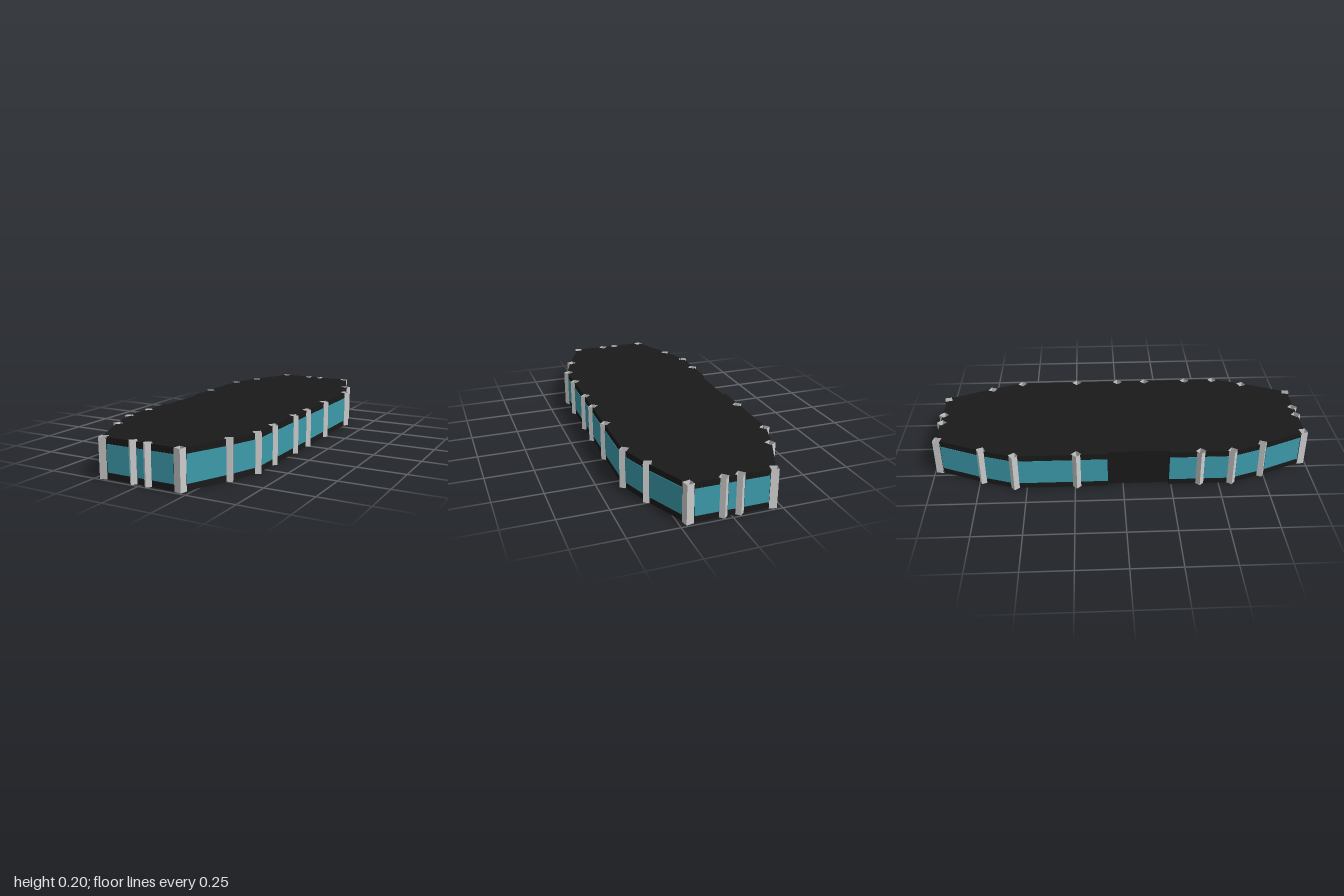
import * as THREE from 'three';

const H = 0.2;          // overall height
const R = 0.027;        // post half diagonal
const OUT = 0.008;      // wall face distance outside the post line
const ENTRY = 6;        // the wall after this post holds the recessed entry
const ENTRY_Z = [0.24, -0.08];

// Post centres (x, z), walking around the plan from the front
const end = [[0.207, 0.97], [0.04, 0.97], [-0.04, 0.97], [-0.207, 0.97]];
const posts = [
  ...end,
  [-0.312, 0.73], [-0.37, 0.565], [-0.37, 0.4],
  [-0.37, -0.24], [-0.37, -0.56], [-0.312, -0.73],
  ...end.map(([x, z]) => [-x, -z]),
  [0.312, -0.73], [0.37, -0.56], [0.37, -0.24], [0.37, 0], [0.37, 0.16],
  [0.37, 0.4], [0.37, 0.565], [0.312, 0.73],
].map(([x, z]) => new THREE.Vector2(x, z));

const dirOf = (a, b) => b.clone().sub(a).normalize();
const outward = (d) => new THREE.Vector2(d.y, -d.x);
const move = (p, d, s, n, t) => p.clone().addScaledVector(d, s).addScaledVector(n, t);

export function createModel() {
  const group = new THREE.Group();
  const black = new THREE.MeshStandardMaterial({ color: 0x1a1a1a });
  const teal = new THREE.MeshStandardMaterial({ color: 0x3c9aaa });
  const grey = new THREE.MeshStandardMaterial({ color: 0xcccccc, side: THREE.DoubleSide });
  const add = (name, geometry, material) => {
    const mesh = new THREE.Mesh(geometry, material);
    mesh.name = name;
    group.add(mesh);
    return mesh;
  };

  // Window panel, slightly proud of the wall between two plan points
  const addPanel = (a, b) => {
    const d = dirOf(a, b);
    const n = outward(d);
    const mid = a.clone().lerp(b, 0.5).addScaledVector(n, OUT - 0.001);
    const panel = add('windowPanel', new THREE.BoxGeometry(a.distanceTo(b), 0.136, 0.006), teal);
    panel.position.set(mid.x, 0.1, mid.y);
    panel.rotation.y = Math.atan2(n.x, n.y);
  };

  const outline = [];
  const count = posts.length;
  posts.forEach((p, i) => {
    const next = posts[(i + 1) % count];
    const dIn = dirOf(posts[(i + count - 1) % count], p);
    const dOut = dirOf(p, next);
    const t = dIn.clone().add(dOut).normalize();
    const n = outward(t);

    // Notch in the body around the post
    const r = R + 0.001;
    outline.push(
      move(p, dIn, -0.021, outward(dIn), OUT),
      move(p, t, -r, n, 0), move(p, t, 0, n, -r), move(p, t, r, n, 0),
      move(p, dOut, 0.021, outward(dOut), OUT),
    );

    // Hollow square post, set corner-out
    const post = add('post', new THREE.CylinderGeometry(R, R, H, 4, 1, true).toNonIndexed(), grey);
    post.geometry.computeVertexNormals();
    post.position.set(p.x, H / 2, p.y);
    post.rotation.y = Math.atan2(n.x, n.y);

    // Wall to the next post, with the entry recess on one side
    const a = move(p, dOut, 0.021, dOut, 0);
    const b = move(next, dOut, -0.021, dOut, 0);
    if (i === ENTRY) {
      const [z0, z1] = ENTRY_Z;
      const x = p.x;
      addPanel(a, new THREE.Vector2(x, z0));
      addPanel(new THREE.Vector2(x, z1), b);
      outline.push(...[[x - OUT, z0], [-0.36, z0], [-0.36, z1], [x - OUT, z1]]
        .map(([u, v]) => new THREE.Vector2(u, v)));
    } else {
      addPanel(a, b);
    }
  });

  // Solid dark body: floor, roof and the bands above and below the windows
  const body = new THREE.ExtrudeGeometry(new THREE.Shape(outline), { depth: H, bevelEnabled: false });
  body.rotateX(Math.PI / 2).translate(0, H, 0);
  add('body', body, black);

  return group;
}
